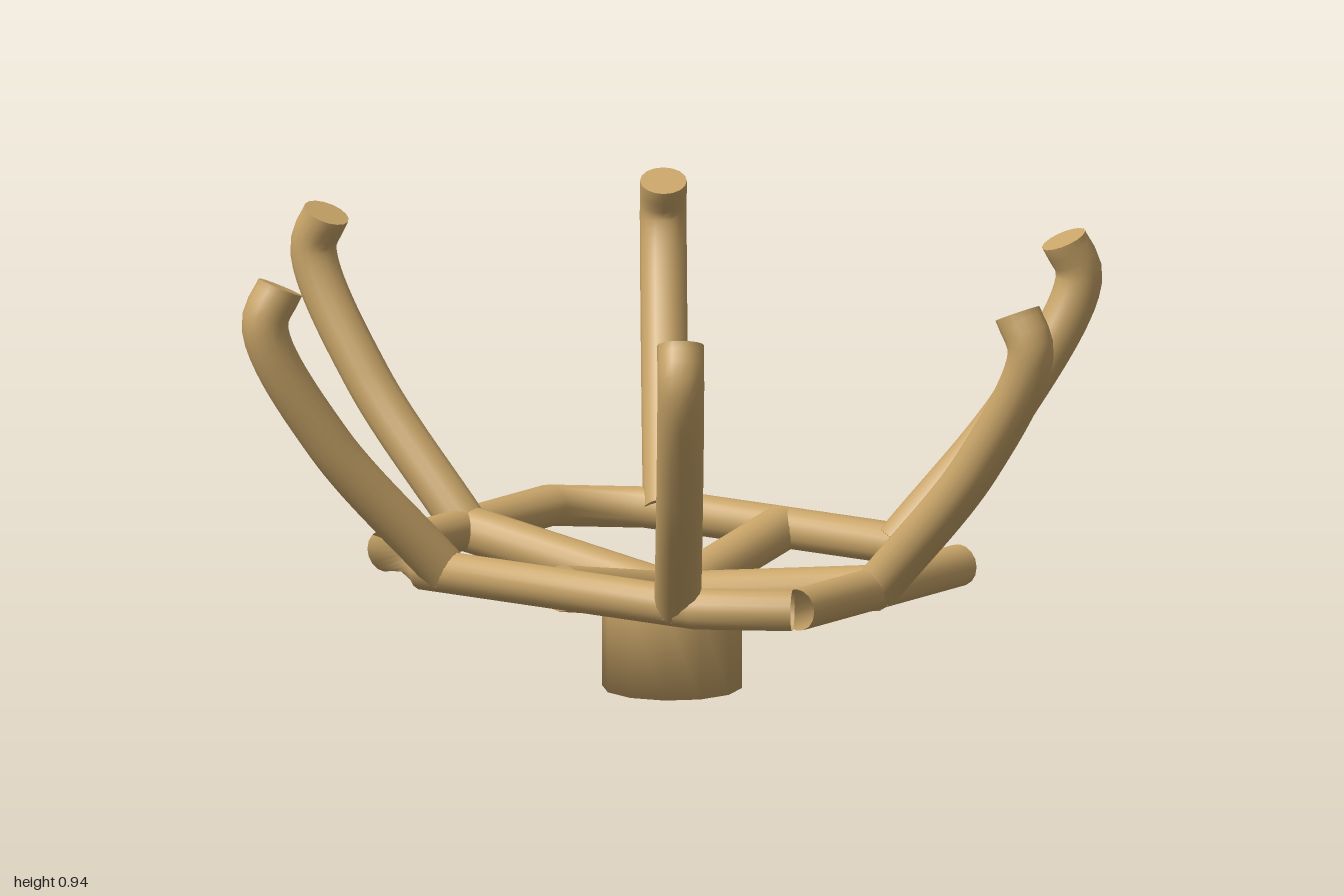
import * as THREE from 'three';

const material = new THREE.MeshStandardMaterial({ color: 0xc8a468, side: THREE.DoubleSide });
const V = (x, y, z) => new THREE.Vector3(x, y, z);
const RING_Y = 0.28;

function addMesh(parent, name, geometry) {
  const mesh = new THREE.Mesh(geometry, material);
  mesh.name = name;
  parent.add(mesh);
  return mesh;
}

// Round bar between two points
function addBar(parent, name, a, b, radius) {
  const dir = b.clone().sub(a);
  const bar = addMesh(parent, name, new THREE.CylinderGeometry(radius, radius, dir.length(), 16));
  bar.position.copy(a).add(b).multiplyScalar(0.5);
  bar.quaternion.setFromUnitVectors(V(0, 1, 0), dir.normalize());
}

// Curved prong with a hooked tip, leaning outward along its local +x
function createProng(name, x, z) {
  const prong = new THREE.Group();
  prong.name = name;
  const curve = new THREE.CatmullRomCurve3([
    V(0, RING_Y, 0), V(0.265, 0.58, 0), V(0.405, 0.84, 0), V(0.37, 0.922, 0),
  ]);
  addMesh(prong, 'prongShaft', new THREE.TubeGeometry(curve, 32, 0.05, 16));
  for (const t of [0, 1]) {
    const cap = addMesh(prong, t ? 'prongTip' : 'prongFoot', new THREE.CircleGeometry(0.05, 16));
    cap.position.copy(curve.getPoint(t));
    const out = curve.getTangent(t).multiplyScalar(t ? 1 : -1);
    cap.quaternion.setFromUnitVectors(V(0, 0, 1), out);
  }
  prong.position.set(x, 0, z);
  // side prongs splay at a 4:3 slope, the end prongs point straight out
  prong.rotation.y = -Math.atan2(Math.sign(z) * (x ? 0.6 : 1), Math.sign(x) * 0.8);
  return prong;
}

// Eight-sided tube ring; two opposite corner pieces are twisted
function ringGeometry() {
  const sides = 16, radius = 0.045, twist = Math.PI * 0.75;
  const diagonal = [-0.87, 0.5];
  // [x, z, outward direction x, outward direction z, twist angle]
  const sections = [
    [-0.29, 0.54, 0, 1, 0], [0.3, 0.54, 0, 1, 0],
    [0.405, 0.36, 1, 0.15, twist], [0.405, -0.36, 1, -0.15, twist],
    [0.3, -0.54, 0, -1, twist], [-0.3, -0.54, 0, -1, twist],
    [-0.405, -0.36, -1, -0.15, 2 * twist], [-0.405, 0.36, -1, 0.15, 2 * twist],
    [-0.3, 0.535, ...diagonal, 2 * twist],
  ];
  const positions = [], index = [];
  sections.forEach(([x, z, nx, nz, turn], i) => {
    const len = Math.hypot(nx, nz);
    for (let j = 0; j < sides; j++) {
      const a = (j / sides) * Math.PI * 2 + turn;
      const r = radius * Math.cos(a) / len;
      positions.push(x + nx * r, RING_Y + radius * Math.sin(a), z + nz * r);
      if (i === sections.length - 1) continue;
      const k = (j + 1) % sides, p = i * sides, q = p + sides;
      index.push(p + j, q + j, p + k, q + j, q + k, p + k);
    }
  });
  const geometry = new THREE.BufferGeometry();
  geometry.setAttribute('position', new THREE.Float32BufferAttribute(positions, 3));
  geometry.setIndex(index);
  geometry.computeVertexNormals();
  return geometry;
}

export function createModel() {
  const model = new THREE.Group();
  model.name = 'prongBasket';

  // Central foot with softened top edge
  const profile = [[0, 0], [0.15, 0], [0.15, 0.19], [0.14, 0.2], [0, 0.2]];
  addMesh(model, 'hub', new THREE.LatheGeometry(profile.map(([x, y]) => new THREE.Vector2(x, y)), 12));

  // Four struts rising from the hub to the ring
  const centre = V(0, 0.2, 0);
  for (const s of [1, -1]) {
    addBar(model, s > 0 ? 'leftStrut' : 'rightStrut', centre, V(0.4 * s, RING_Y, 0), 0.05);
    addBar(model, s > 0 ? 'frontStrut' : 'backStrut', centre, V(0, RING_Y, 0.54 * s), 0.05);
  }

  addMesh(model, 'ring', ringGeometry());

  // Six prongs: one at each end, four at the corners
  for (const s of [1, -1]) {
    const end = s > 0 ? 'front' : 'back';
    model.add(createProng(end + 'Prong', 0, 0.54 * s));
    model.add(createProng(end + 'LeftProng', 0.4, 0.305 * s));
    model.add(createProng(end + 'RightProng', -0.4, 0.305 * s));
  }
  return model;
}
